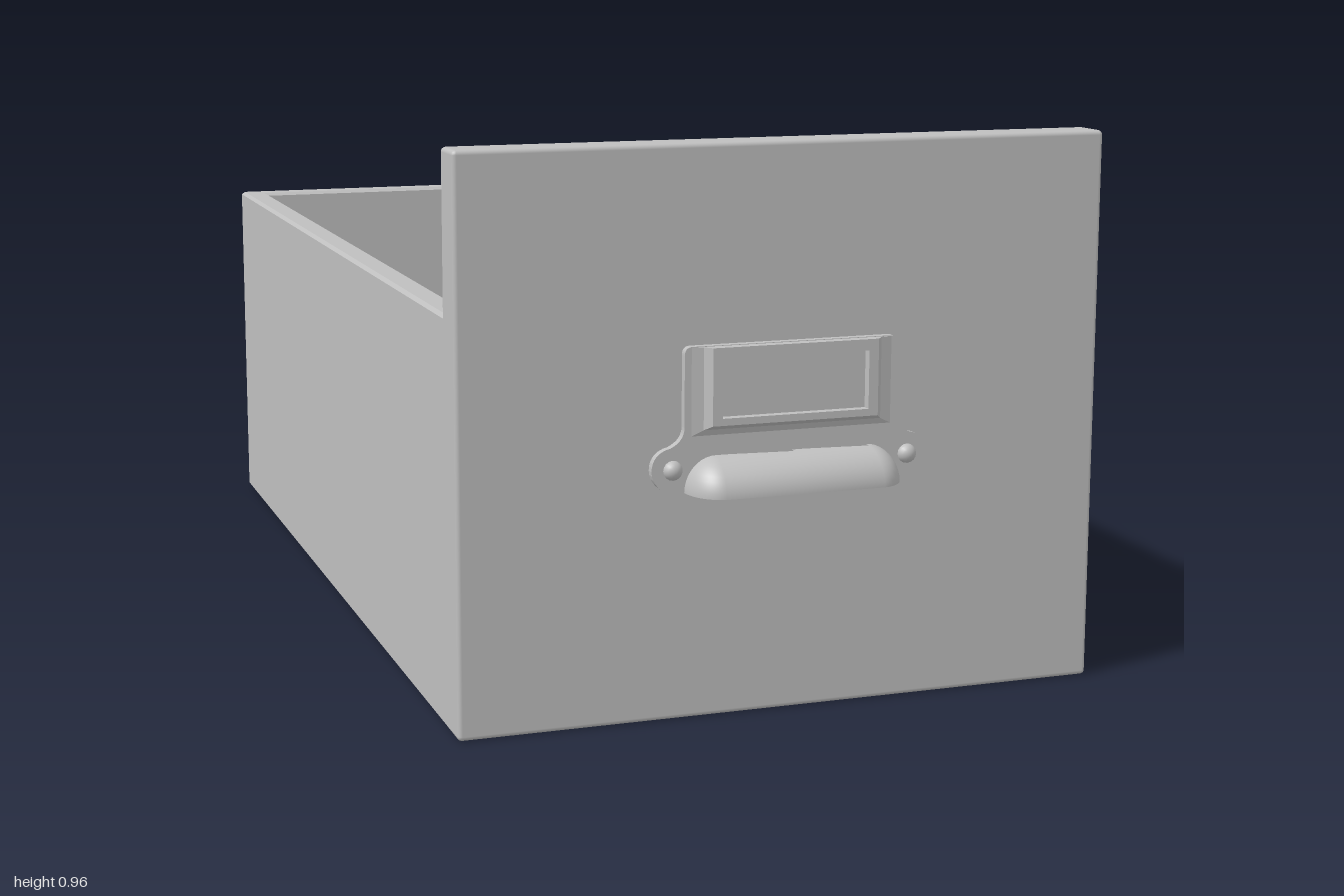
import * as THREE from 'three';
import { RoundedBoxGeometry } from 'three/addons/geometries/RoundedBoxGeometry.js';

const grey = new THREE.MeshStandardMaterial({ color: 0xbfbfbf, side: THREE.DoubleSide });
grey.name = 'grey';

function add(group, name, geometry, x = 0, y = 0, z = 0) {
  const mesh = new THREE.Mesh(geometry, grey);
  mesh.name = name;
  mesh.position.set(x, y, z);
  group.add(mesh);
  return mesh;
}

// Rectangle path from x0..x1, y0..y1
function rect(path, x0, y0, x1, y1) {
  path.moveTo(x0, y0);
  path.lineTo(x1, y0);
  path.lineTo(x1, y1);
  path.lineTo(x0, y1);
  path.closePath();
  return path;
}

// Side and back walls as one upright ring with softened edges
function wallRing() {
  const b = 0.006;
  const shape = rect(new THREE.Shape(), -0.574 + b, -0.87, 0.574 - b, 1 - b);
  shape.holes.push(rect(new THREE.Path(), -0.524 - b, -0.852, 0.524 + b, 0.95 + b));
  const g = new THREE.ExtrudeGeometry(shape, {
    depth: 0.695 - 2 * b, bevelSize: b, bevelThickness: b, bevelSegments: 1,
  });
  g.rotateX(-Math.PI / 2);
  g.translate(0, b, 0);
  return g;
}

// Backplate outline: tall label holder with rounded ears at the bottom
function backplate() {
  const s = new THREE.Shape();
  s.moveTo(-0.2, 0.39);
  s.lineTo(0.2, 0.39);
  s.bezierCurveTo(0.23, 0.39, 0.247, 0.41, 0.247, 0.43);
  s.bezierCurveTo(0.247, 0.45, 0.235, 0.463, 0.215, 0.467);
  s.quadraticCurveTo(0.19, 0.478, 0.19, 0.5);
  s.lineTo(0.19, 0.62);
  s.quadraticCurveTo(0.19, 0.634, 0.176, 0.634);
  s.lineTo(-0.176, 0.634);
  s.quadraticCurveTo(-0.19, 0.634, -0.19, 0.62);
  s.lineTo(-0.19, 0.5);
  s.quadraticCurveTo(-0.19, 0.478, -0.215, 0.467);
  s.bezierCurveTo(-0.235, 0.463, -0.247, 0.45, -0.247, 0.43);
  s.bezierCurveTo(-0.247, 0.41, -0.23, 0.39, -0.2, 0.39);
  return new THREE.ExtrudeGeometry(s, { depth: 0.02, bevelEnabled: false, curveSegments: 8 });
}

// Raised label frame: nested rectangles [half width, bottom, top, z], closed by the sunken label face
function labelFrame() {
  const rings = [
    [0.178, 0.485, 0.633, 0.932], [0.158, 0.495, 0.633, 0.936], [0.147, 0.503, 0.633, 0.95],
    [0.13, 0.515, 0.614, 0.95], [0.13, 0.515, 0.614, 0.934],
  ];
  const pos = [], idx = [];
  for (const [w, y0, y1, z] of rings) pos.push(-w, y0, z, w, y0, z, w, y1, z, -w, y1, z);
  for (let r = 0; r < rings.length - 1; r++) {
    for (let i = 0; i < 4; i++) {
      const a = r * 4 + i, b = r * 4 + (i + 1) % 4;
      idx.push(a, b, b + 4, a, b + 4, a + 4);
    }
  }
  const k = (rings.length - 1) * 4;
  idx.push(k, k + 1, k + 2, k, k + 2, k + 3);
  // Top edge strip down to the backplate
  const n = pos.length / 3;
  pos.push(-0.147, 0.633, 0.93, 0.147, 0.633, 0.93);
  idx.push(11, 10, n + 1, 11, n + 1, n);
  let g = new THREE.BufferGeometry();
  g.setAttribute('position', new THREE.Float32BufferAttribute(pos, 3));
  g.setIndex(idx);
  g = g.toNonIndexed();
  g.computeVertexNormals();
  return g;
}

// Cup pull: quarter sphere stretched sideways, open underneath
function cupPull() {
  const g = new THREE.SphereGeometry(1, 32, 10, 0, Math.PI, 0, Math.PI / 2);
  g.scale(0.055, 0.06, 0.07);
  const p = g.attributes.position;
  for (let i = 0; i < p.count; i++) {
    const side = Math.sign((i % 33) - 16);
    p.setX(i, p.getX(i) + side * 0.135);
  }
  return g;
}

export function createModel() {
  const model = new THREE.Group();
  model.name = 'drawer';

  // Box
  add(model, 'walls', wallRing());
  add(model, 'floor', new THREE.BoxGeometry(1.06, 0.038, 1.805), 0, 0.044, -0.0525);
  add(model, 'frontPanel', new RoundedBoxGeometry(1.148, 0.965, 0.074, 2, 0.008), 0, 0.4825, 0.881);

  // Handle with label holder
  const handle = new THREE.Group();
  handle.name = 'handle';
  model.add(handle);
  add(handle, 'backplate', backplate(), 0, 0, 0.912);
  add(handle, 'labelFrame', labelFrame());
  add(handle, 'cupPull', cupPull(), 0, 0.391, 0.93);
  for (const side of [-1, 1]) {
    const dome = new THREE.SphereGeometry(0.017, 16, 6, 0, Math.PI * 2, 0, Math.PI / 2);
    dome.rotateX(Math.PI / 2);
    add(handle, side > 0 ? 'leftScrew' : 'rightScrew', dome, side * 0.21, 0.43, 0.93);
  }
  return model;
}
